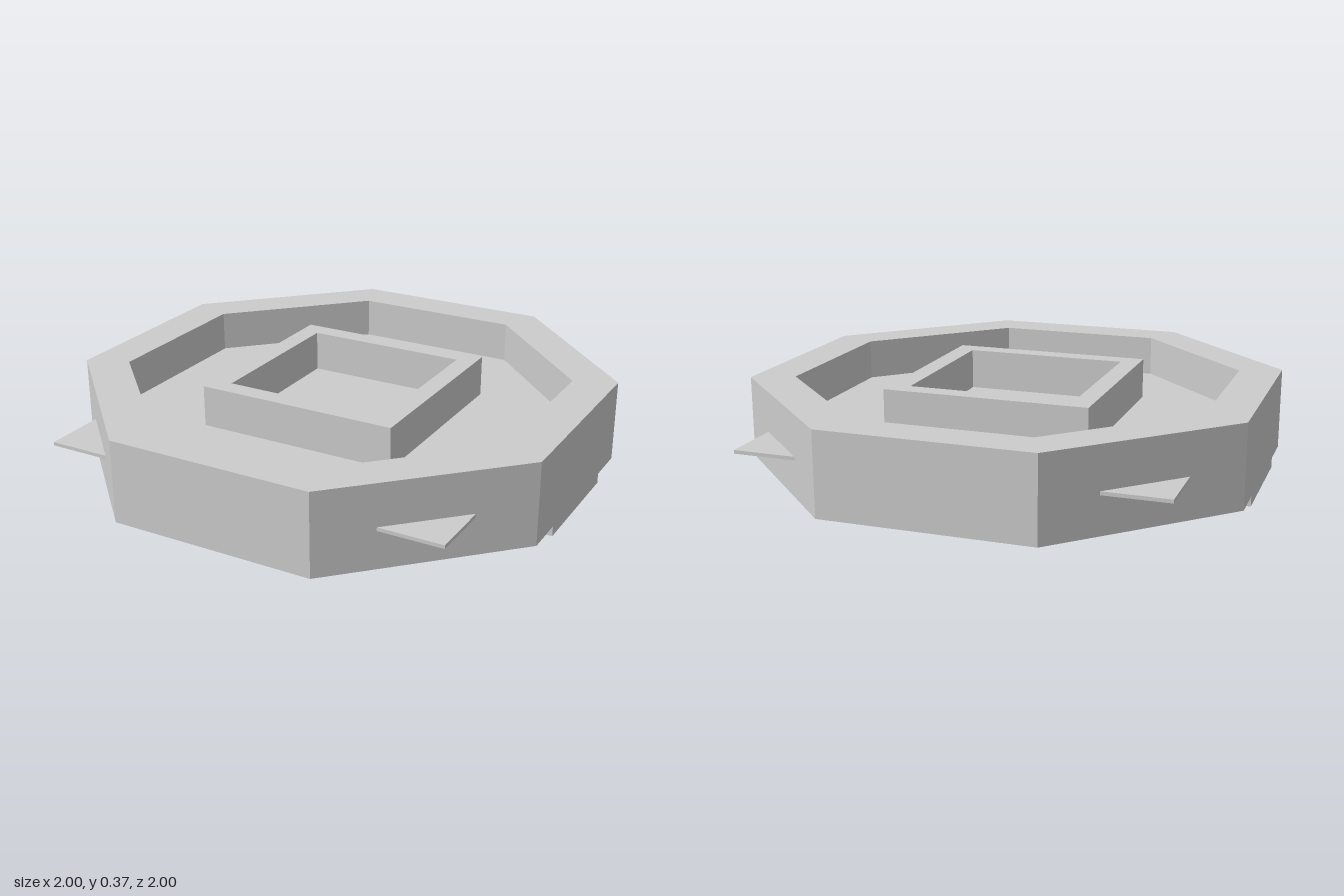
import * as THREE from 'three';

// Closed outline of a regular polygon given the distance to its flat sides
function polygonPoints(sides, apothem) {
  const radius = apothem / Math.cos(Math.PI / sides);
  return Array.from({ length: sides }, (_, i) => {
    const a = ((i + 0.5) / sides) * Math.PI * 2;
    return new THREE.Vector2(Math.cos(a) * radius, Math.sin(a) * radius);
  });
}

// Upright polygonal wall with an open middle
function frameGeometry(sides, outer, inner, bottom, top) {
  const shape = new THREE.Shape(polygonPoints(sides, outer));
  shape.holes.push(new THREE.Path(polygonPoints(sides, inner)));
  const geometry = new THREE.ExtrudeGeometry(shape, { depth: top - bottom, bevelEnabled: false });
  return geometry.rotateX(-Math.PI / 2).translate(0, bottom, 0);
}

export function createModel() {
  const group = new THREE.Group();
  const grey = new THREE.MeshStandardMaterial({ color: 0xcccccc });
  grey.name = 'plain grey';

  const add = (name, geometry, x = 0, y = 0, z = 0) => {
    const mesh = new THREE.Mesh(geometry, grey);
    mesh.name = name;
    mesh.position.set(x, y, z);
    group.add(mesh);
  };

  // Octagonal outer wall and square inner wall
  add('outerRing', frameGeometry(8, 1, 0.835, 0.04, 0.37));
  add('innerFrame', frameGeometry(4, 0.414, 0.335, 0.2, 0.37));

  // Thin square floor whose corners poke through the ring
  add('floorPlate', new THREE.BoxGeometry(1.668, 0.014, 1.668), 0, 0.196, 0);

  // Small block under the middle of the floor
  add('centreBlock', new THREE.BoxGeometry(0.2, 0.065, 0.2), 0, 0.16, 0);

  // Feet under the left and right sides
  for (const side of [1, -1]) {
    add(side > 0 ? 'leftFoot' : 'rightFoot', new THREE.BoxGeometry(0.25, 0.04, 0.5), side * 0.875, 0.02, 0);
  }
  return group;
}
